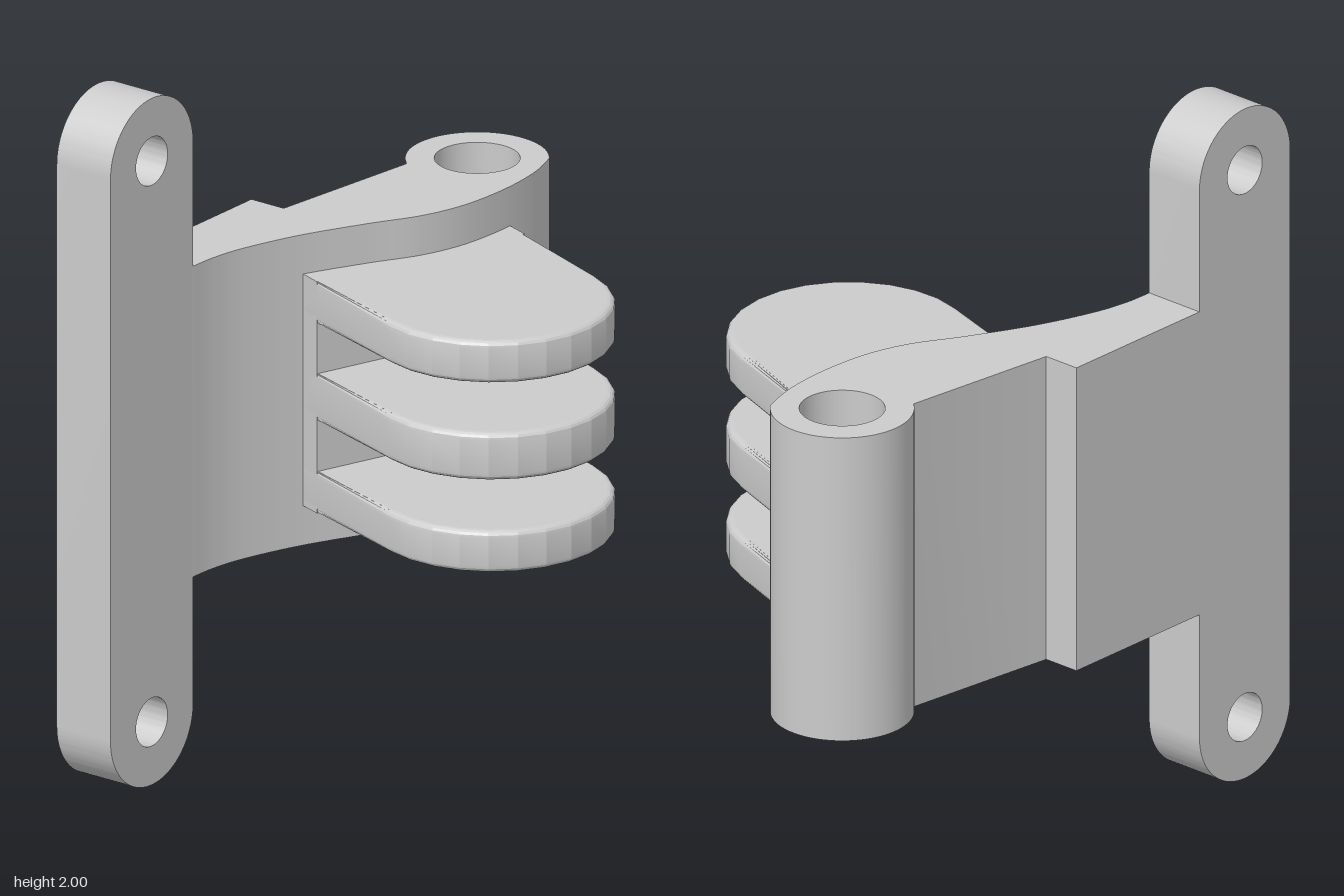
import * as THREE from 'three';
import { toCreasedNormals } from 'three/addons/utils/BufferGeometryUtils.js';

const grey = new THREE.MeshStandardMaterial({ color: 0xcccccc });

function addMesh(parent, name, geometry, material = grey) {
  const mesh = new THREE.Mesh(geometry, material);
  mesh.name = name;
  parent.add(mesh);
  return mesh;
}

function circleHole(x, y, r) {
  const path = new THREE.Path();
  path.absarc(x, y, r, 0, Math.PI * 2, true);
  return path;
}

function extrude(shape, depth) {
  const geo = new THREE.ExtrudeGeometry(shape, { depth, bevelEnabled: false, curveSegments: 32 });
  return toCreasedNormals(geo, 0.5);
}

// Extrudes a plan drawn in (x, z) between two heights
function extrudeUp(shape, y0, y1) {
  return extrude(shape, y1 - y0).rotateX(Math.PI / 2).translate(0, y1, 0);
}

// Tall mounting bar with rounded ends and two screw holes
function barGeometry() {
  const x = -0.659, r = 0.183;
  const shape = new THREE.Shape();
  shape.absarc(x, 2 - r, r, 0, Math.PI, false);
  shape.absarc(x, r, r, Math.PI, Math.PI * 2, false);
  shape.closePath();
  for (const y of [r, 2 - r]) shape.holes.push(circleHole(x, y, 0.07));
  return extrude(shape, 0.185).translate(0, 0, -0.566);
}

// Curved arm ending in a hinge barrel with a pin hole
function armGeometry() {
  const shape = new THREE.Shape();
  shape.moveTo(-0.48, -0.566);
  shape.lineTo(0.02, -0.566);
  shape.lineTo(0.02, -0.455);
  shape.lineTo(0.492, -0.398);
  shape.absarc(0.643, -0.273, 0.196, -2.45, 0.92, false);
  shape.splineThru([
    [0.65, -0.083], [0.5, -0.07], [0.34, -0.083], [0.205, -0.126], [0.07, -0.203],
    [-0.11, -0.294], [-0.28, -0.355], [-0.39, -0.377], [-0.48, -0.381],
  ].map(([x, z]) => new THREE.Vector2(x, z)));
  shape.closePath();
  shape.holes.push(circleHole(0.643, -0.273, 0.117));
  return extrudeUp(shape, 0.55, 1.455);
}

// Finger: outline in local (x, z), its round tip shrunk by inset
const R = 0.335, ROOT = -0.5, HOLE = 0.127;
function fingerOutline(inset) {
  const steps = 13, pts = [new THREE.Vector2(R, ROOT)];
  for (let i = 0; i <= steps; i++) {
    const a = (i / steps) * Math.PI;
    pts.push(new THREE.Vector2(Math.cos(a) * (R - inset), Math.sin(a) * (R - inset)));
  }
  pts.push(new THREE.Vector2(-R, ROOT));
  return pts;
}

// Outer wall of a finger, lofted through levels with rounded edges
function fingerWall(y0, y1, fillet) {
  const levels = [];
  for (let i = 0; i <= 4; i++) {
    const a = (i / 4) * Math.PI / 2;
    levels.push([y0 + fillet * (1 - Math.cos(a)), fillet * (1 - Math.sin(a))]);
  }
  for (let i = 4; i >= 0; i--) levels.push([y0 + y1 - levels[i][0], levels[i][1]]);
  const loops = levels.map(([y, inset]) => fingerOutline(inset).map((p) => [p.x, y, p.y]));
  const pos = [];
  for (let l = 0; l < loops.length - 1; l++) {
    for (let i = 0; i < loops[l].length - 1; i++) {
      const a = loops[l][i], b = loops[l][i + 1], c = loops[l + 1][i + 1], d = loops[l + 1][i];
      pos.push(...a, ...c, ...b, ...a, ...d, ...c);
    }
  }
  const geo = new THREE.BufferGeometry();
  geo.setAttribute('position', new THREE.Float32BufferAttribute(pos, 3));
  return toCreasedNormals(geo, 0.2);
}

function makeFinger(y0, y1) {
  const fillet = 0.02;
  const finger = new THREE.Group();
  finger.name = 'finger';
  addMesh(finger, 'fingerWall', fingerWall(y0, y1, fillet));
  // Flat faces
  const face = new THREE.Shape(fingerOutline(fillet));
  face.holes.push(circleHole(0, 0, HOLE));
  const bottom = new THREE.ShapeGeometry(face, 32).rotateX(Math.PI / 2).translate(0, y0, 0);
  const top = new THREE.ShapeGeometry(face, 32);
  top.scale(1, -1, 1);
  const index = Array.from(top.index.array).reverse();
  top.setIndex(index);
  top.rotateX(-Math.PI / 2).translate(0, y1, 0);
  top.computeVertexNormals();
  addMesh(finger, 'fingerBottom', bottom);
  addMesh(finger, 'fingerTop', top);
  // Bolt hole lining
  const bore = new THREE.CylinderGeometry(HOLE, HOLE, y1 - y0, 32, 1, true);
  bore.translate(0, (y0 + y1) / 2, 0);
  addMesh(finger, 'boltHole', bore, new THREE.MeshStandardMaterial({ color: 0xcccccc, side: THREE.DoubleSide }));
  return finger;
}

export function createModel() {
  const model = new THREE.Group();
  model.name = 'hingedMountBracket';
  addMesh(model, 'mountingBar', barGeometry());
  addMesh(model, 'hingeArm', armGeometry());

  // Three-finger clevis, angled and centred on its bolt hole
  const clevis = new THREE.Group();
  clevis.name = 'clevis';
  clevis.position.set(0.07, 0, 0.225);
  clevis.rotation.y = -0.337;
  for (const [y0, y1] of [[0.665, 0.787], [0.934, 1.072], [1.217, 1.34]]) clevis.add(makeFinger(y0, y1));

  // Block joining the finger roots to the arm
  const depth = 0.14;
  const root = new THREE.BoxGeometry(R * 2, 1.34 - 0.665, depth);
  root.translate(0, (1.34 + 0.665) / 2, ROOT + depth / 2);
  addMesh(clevis, 'fingerRoot', root);
  model.add(clevis);
  return model;
}
